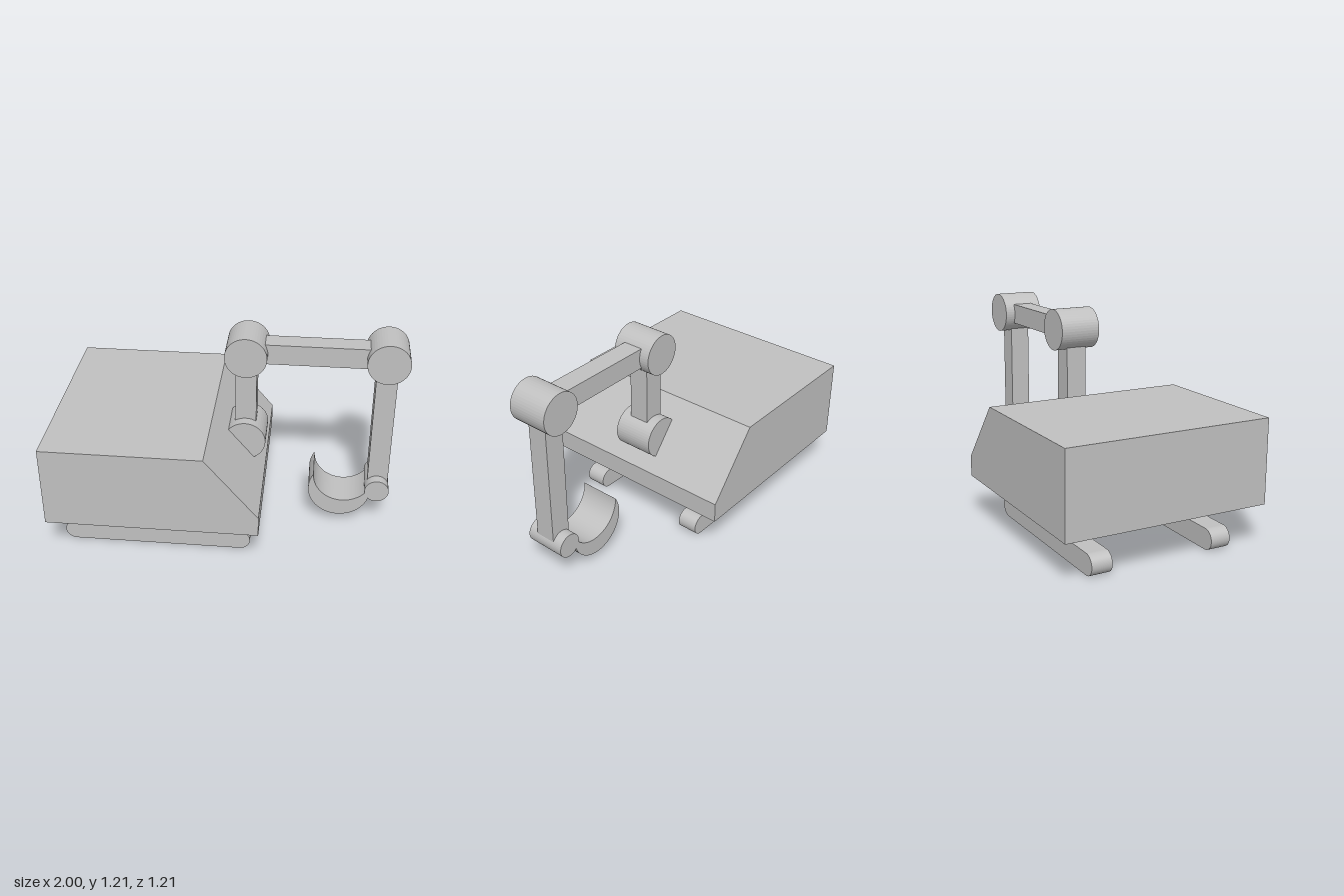
import * as THREE from 'three';

export function createModel() {
  const model = new THREE.Group();
  model.name = 'craneMachine';
  const grey = new THREE.MeshStandardMaterial({ color: 0xc0c0c0, flatShading: true });
  grey.name = 'lightGrey';

  const add = (name, geometry, x = 0, y = 0, z = 0) => {
    const mesh = new THREE.Mesh(geometry, grey);
    mesh.name = name;
    mesh.position.set(x, y, z);
    model.add(mesh);
    return mesh;
  };
  const box = (name, x0, x1, y0, y1, z0, z1) =>
    add(name, new THREE.BoxGeometry(x1 - x0, y1 - y0, z1 - z0),
      (x0 + x1) / 2, (y0 + y1) / 2, (z0 + z1) / 2);
  // Side profile extruded along z, centred on the given z
  const slab = (name, shape, depth, z = 0) =>
    add(name, new THREE.ExtrudeGeometry(shape, { depth, bevelEnabled: false, curveSegments: 32 }),
      0, 0, z - depth / 2);
  // Pivot drum with its axis along z
  const joint = (name, x, y, r) =>
    add(name, new THREE.CylinderGeometry(r, r, 0.24, 48).rotateX(Math.PI / 2), x, y, 0);

  // Body with sloping nose
  const profile = new THREE.Shape([
    [-1, 0.245], [0.21, 0.245], [0.21, 0.365], [-0.093, 0.728], [-1, 0.728],
  ].map(([x, y]) => new THREE.Vector2(x, y)));
  slab('body', profile, 1.21);

  // Turntable under the body
  add('turntable', new THREE.CylinderGeometry(0.181, 0.181, 0.07, 48), -0.395, 0.22, 0);

  // Round-ended tracks
  for (const side of [1, -1]) {
    const track = new THREE.Shape();
    track.absarc(0.09, 0.0605, 0.0605, -Math.PI / 2, Math.PI / 2);
    track.absarc(-0.88, 0.0605, 0.0605, Math.PI / 2, Math.PI * 1.5);
    slab(side > 0 ? 'leftTrack' : 'rightTrack', track, 0.12, side * 0.365);
  }

  // Small fitting on one track
  box('fittingNeck', -0.43, -0.365, 0.118, 0.137, 0.33, 0.402);
  box('fittingPlate', -0.457, -0.34, 0.136, 0.15, 0.295, 0.44);
  box('fittingRidge', -0.415, -0.382, 0.149, 0.161, 0.295, 0.44);

  // Jointed arm
  joint('shoulderJoint', 0.09, 0.55, 0.12);
  joint('elbowJoint', 0.09, 1.093, 0.12);
  joint('outerJoint', 0.88, 1.093, 0.12);
  joint('wristJoint', 0.877, 0.243, 0.071);
  box('upperArm', 0.028, 0.15, 0.55, 1.093, -0.06, 0.06);
  box('boom', 0.09, 0.88, 1.034, 1.154, -0.06, 0.06);
  box('forearm', 0.82, 0.94, 0.243, 1.093, -0.06, 0.06);

  // Crescent scoop bounded by two arcs
  const scoop = new THREE.Shape();
  scoop.absarc(0.655, 0.245, 0.183, 2.582, 0.145 + Math.PI * 2, false);
  scoop.absarc(0.675, 0.34, 0.175, -0.402, -3.153, true);
  slab('scoop', scoop, 0.24);

  return model;
}
